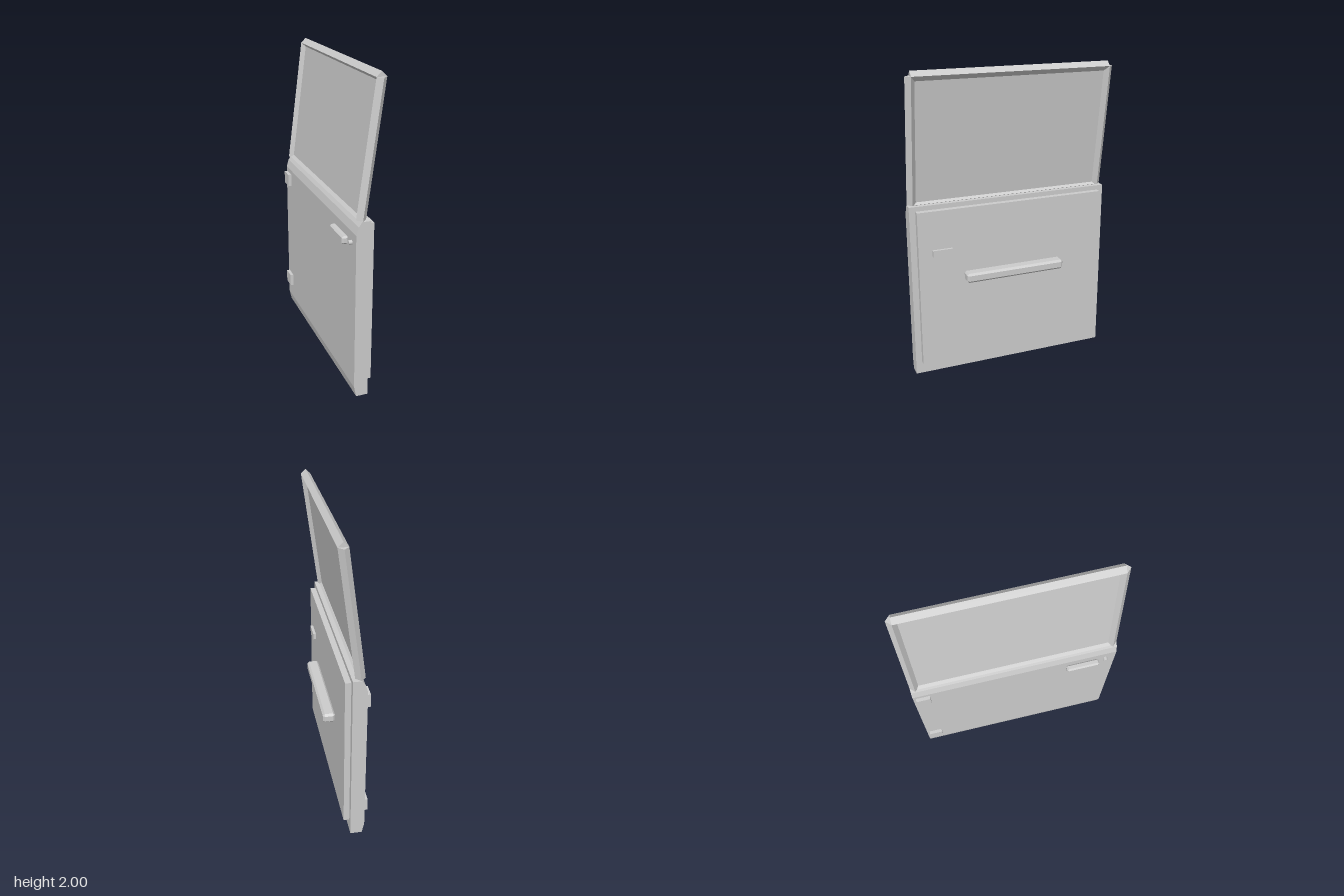
import * as THREE from 'three';
import { ConvexGeometry } from 'three/addons/geometries/ConvexGeometry.js';

const SILL_Y = 1.167, TOP_Y = 1.969, SILL_X = -0.045, TOP_X = 0.06;

export function createModel() {
  const model = new THREE.Group();
  model.name = 'vehicleDoor';
  const grey = new THREE.MeshStandardMaterial({ color: 0xcccccc });
  grey.name = 'light grey';

  function add(name, geometry, x = 0, y = 0, z = 0) {
    const mesh = new THREE.Mesh(geometry, grey);
    mesh.name = name;
    mesh.position.set(x, y, z);
    model.add(mesh);
    return mesh;
  }

  // Box given by its limits on each axis
  function box(name, x0, x1, y0, y1, z0, z1) {
    return add(name, new THREE.BoxGeometry(x1 - x0, y1 - y0, z1 - z0),
      (x0 + x1) / 2, (y0 + y1) / 2, (z0 + z1) / 2);
  }

  // Box with every edge cut by c
  function chamferBox(name, x0, x1, y0, y1, z0, z1, c) {
    const h = [(x1 - x0) / 2, (y1 - y0) / 2, (z1 - z0) / 2];
    const points = [];
    for (const sx of [-1, 1]) for (const sy of [-1, 1]) for (const sz of [-1, 1]) {
      for (let k = 0; k < 3; k++) {
        const d = h.map((v, i) => (i === k ? v : v - c));
        points.push(new THREE.Vector3(sx * d[0], sy * d[1], sz * d[2]));
      }
    }
    return add(name, new ConvexGeometry(points), (x0 + x1) / 2, (y0 + y1) / 2, (z0 + z1) / 2);
  }

  // Four-sided bar with crisp edges, its corners on the x and z axes
  function diamondBar(radius, length) {
    const g = new THREE.CylinderGeometry(radius, radius, length, 4).toNonIndexed();
    g.computeVertexNormals();
    return g;
  }

  // Leans an upright window part outwards along the sill-to-top line
  function lean(geometry) {
    const slope = (TOP_X - SILL_X) / (TOP_Y - SILL_Y);
    const p = geometry.attributes.position;
    for (let i = 0; i < p.count; i++) p.setX(i, p.getX(i) + slope * p.getY(i));
    geometry.computeVertexNormals();
    return geometry;
  }

  // Door body: side profile extruded along z
  const profile = [[-0.07, 0], [0.005, 0], [0.005, 1.165], [-0.05, 1.165],
    [-0.07, 1.135], [-0.085, 1.085], [-0.085, 0.07]];
  const body = new THREE.ExtrudeGeometry(
    new THREE.Shape(profile.map(([x, y]) => new THREE.Vector2(x, y))),
    { depth: 1.34, bevelEnabled: false });
  add('doorBody', body, 0, 0, -0.67);

  // Inner trim
  box('innerPanel', 0.003, 0.042, 0.083, 1.135, -0.63, 0.63);
  chamferBox('armrest', 0.04, 0.12, 0.647, 0.71, -0.335, 0.335, 0.013);
  box('innerLatch', 0.04, 0.06, 0.838, 0.88, 0.41, 0.54);

  // Outer fittings
  for (const y of [0.213, 1.013]) {
    box('hinge', -0.107, -0.08, y - 0.043, y + 0.043, -0.652, -0.562);
  }
  chamferBox('outerHandle', -0.125, -0.083, 0.987, 1.037, 0.338, 0.555, 0.01);
  const lock = add('lockBarrel', new THREE.CylinderGeometry(0.014, 0.014, 0.027, 12),
    -0.0935, 1.02, 0.602);
  lock.rotation.z = Math.PI / 2;

  // Window frame and pane
  const midX = (SILL_X + TOP_X) / 2, midY = (SILL_Y + TOP_Y) / 2, height = TOP_Y - SILL_Y;
  for (const side of [-1, 1]) {
    add('windowPost', lean(diamondBar(0.031, height)), midX, midY, side * 0.639);
  }
  add('windowTopRail', diamondBar(0.031, 1.278), TOP_X, TOP_Y, 0).rotation.x = Math.PI / 2;
  add('windowSill', diamondBar(0.02, 1.25), SILL_X, SILL_Y, 0).rotation.x = Math.PI / 2;
  const pane = new THREE.BoxGeometry(0.009, height, 1.25).toNonIndexed();
  add('windowPane', lean(pane), midX, midY, 0);

  return model;
}
